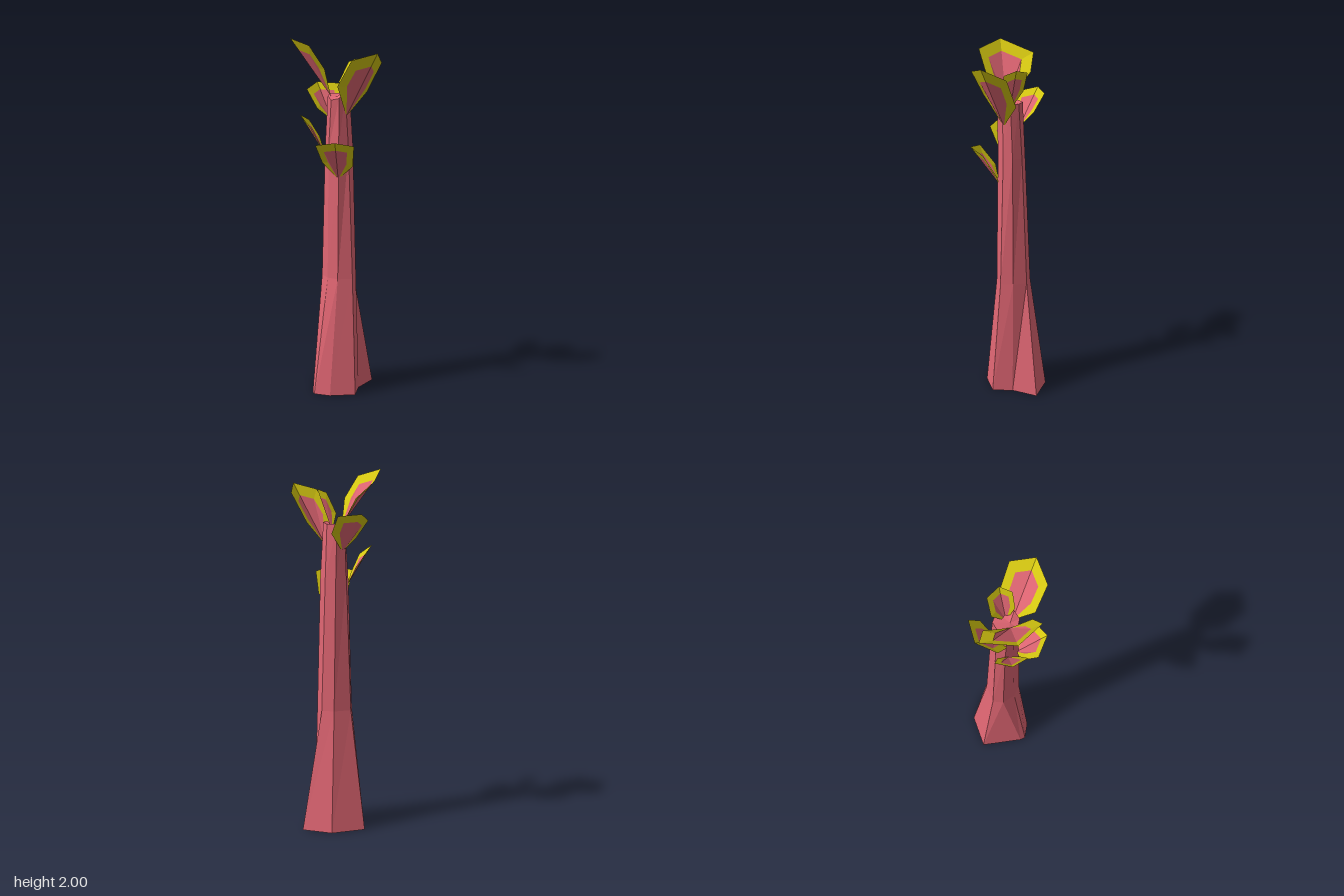
import * as THREE from 'three';

const pink = new THREE.MeshStandardMaterial({ color: 0xe06673, flatShading: true });
const pinkLeaf = new THREE.MeshStandardMaterial({ color: 0xe06673, flatShading: true, side: THREE.DoubleSide });
const yellow = new THREE.MeshStandardMaterial({ color: 0xd8ca12, flatShading: true, side: THREE.DoubleSide });

const v = (p) => new THREE.Vector3(...p);

// Mesh from a flat list of triangle corners
function triMesh(name, corners, material) {
  const geometry = new THREE.BufferGeometry().setFromPoints(corners);
  geometry.computeVertexNormals();
  const mesh = new THREE.Mesh(geometry, material);
  mesh.name = name;
  return mesh;
}

// Trunk: loft through irregular rings of [x, y, z], starting at the back, going by +x
function makeTrunk() {
  const at = (y, ring) => ring.map(([x, z]) => v([x, y, z]));
  const rings = [
    at(0, [[0.015, -0.225], [0.06, -0.08], [0.135, 0.01], [0.055, 0.13],
      [-0.025, 0.18], [-0.055, 0.168], [-0.24, 0.01], [-0.145, -0.16]]),
    at(0.67, [[-0.025, -0.11], [0.045, -0.07], [0.085, -0.01], [0.04, 0.06],
      [-0.025, 0.08], [-0.1, 0.06], [-0.135, 0.01], [-0.09, -0.08]]),
    at(1.4, [[-0.02, -0.075], [0.035, -0.055], [0.055, -0.005], [0.037, 0.05],
      [-0.028, 0.068], [-0.075, 0.055], [-0.1, 0.01], [-0.075, -0.05]]),
    at(1.7, [[-0.015, -0.055], [0.03, -0.035], [0.045, 0.01], [0.04, 0.05],
      [0, 0.072], [-0.05, 0.055], [-0.085, 0.01], [-0.07, -0.035]]),
  ];
  // uneven broken top edge
  [0, 0.01, 0.015, -0.02, -0.03, -0.01, 0, 0].forEach((dy, i) => { rings[3][i].y += dy; });

  const n = rings[0].length, tris = [];
  const bottom = v([-0.03, 0, 0]), top = v([-0.01, 1.685, 0.03]);
  for (let i = 0; i < n; i++) {
    const j = (i + 1) % n;
    for (let k = 0; k < rings.length - 1; k++) {
      const lo = rings[k], hi = rings[k + 1];
      tris.push(lo[i], hi[i], lo[j], lo[j], hi[i], hi[j]);
    }
    tris.push(bottom, rings[0][i], rings[0][j]);
    tris.push(top, rings[3][j], rings[3][i]);
  }
  return triMesh('trunk', tris, pink);
}

// Leaf: six-cornered blade folded on its midrib, with a coloured rim
function makeLeaf(name, outline) {
  const [base, l1, l2, tip, r2, r1] = outline.map(v);
  const centre = base.clone().lerp(tip, 0.5);
  const inner = (p) => centre.clone().lerp(p, 0.6);
  const blade = [], rim = [];
  for (const side of [[l1, l2, tip], [r1, r2, tip]]) {
    const ins = side.map(inner);
    blade.push(base, ins[0], ins[1], base, ins[1], ins[2]);
    rim.push(base, side[0], ins[0]);
    for (let i = 0; i < 2; i++) {
      rim.push(side[i], side[i + 1], ins[i], ins[i], side[i + 1], ins[i + 1]);
    }
  }
  const leaf = new THREE.Group();
  leaf.name = name;
  leaf.add(triMesh('leafBlade', blade, pinkLeaf), triMesh('leafRim', rim, yellow));
  return leaf;
}

// Corners of each leaf: base, two on one edge, tip, two on the other edge
const leaves = {
  frontTopLeaf: [[-0.03, 1.69, 0.05], [-0.175, 1.84, 0.0], [-0.26, 1.93, 0.053],
    [-0.17, 2.0, 0.218], [0, 1.965, 0.222], [0.028, 1.84, 0.14]],
  leftTopLeaf: [[0.043, 1.58, 0], [0.078, 1.71, -0.118], [0.175, 1.87, -0.138],
    [0.257, 1.925, -0.035], [0.195, 1.89, 0.092], [0.093, 1.75, 0.105]],
  frontLowLeaf: [[0.027, 1.235, 0.045], [-0.02, 1.33, 0.12], [0.02, 1.435, 0.2],
    [0.138, 1.455, 0.16], [0.16, 1.43, 0.045], [0.1, 1.31, 0.002]],
  frontRightLeaf: [[-0.06, 1.36, 0.062], [-0.13, 1.46, 0.05], [-0.185, 1.55, 0.08],
    [-0.15, 1.585, 0.17], [-0.045, 1.53, 0.185], [-0.04, 1.43, 0.12]],
  rightLeaf: [[-0.08, 1.55, 0], [-0.088, 1.65, -0.1], [-0.152, 1.745, -0.12],
    [-0.225, 1.755, -0.01], [-0.18, 1.72, 0.1], [-0.1, 1.62, 0.09]],
  backTopLeaf: [[-0.005, 1.66, 0], [-0.07, 1.76, -0.04], [-0.045, 1.87, -0.09],
    [0.033, 1.89, -0.08], [0.065, 1.86, -0.02], [0.045, 1.75, 0.015]],
};

export function createModel() {
  const model = new THREE.Group();
  model.name = 'leafyStump';
  model.add(makeTrunk());
  for (const [name, outline] of Object.entries(leaves)) model.add(makeLeaf(name, outline));
  return model;
}
